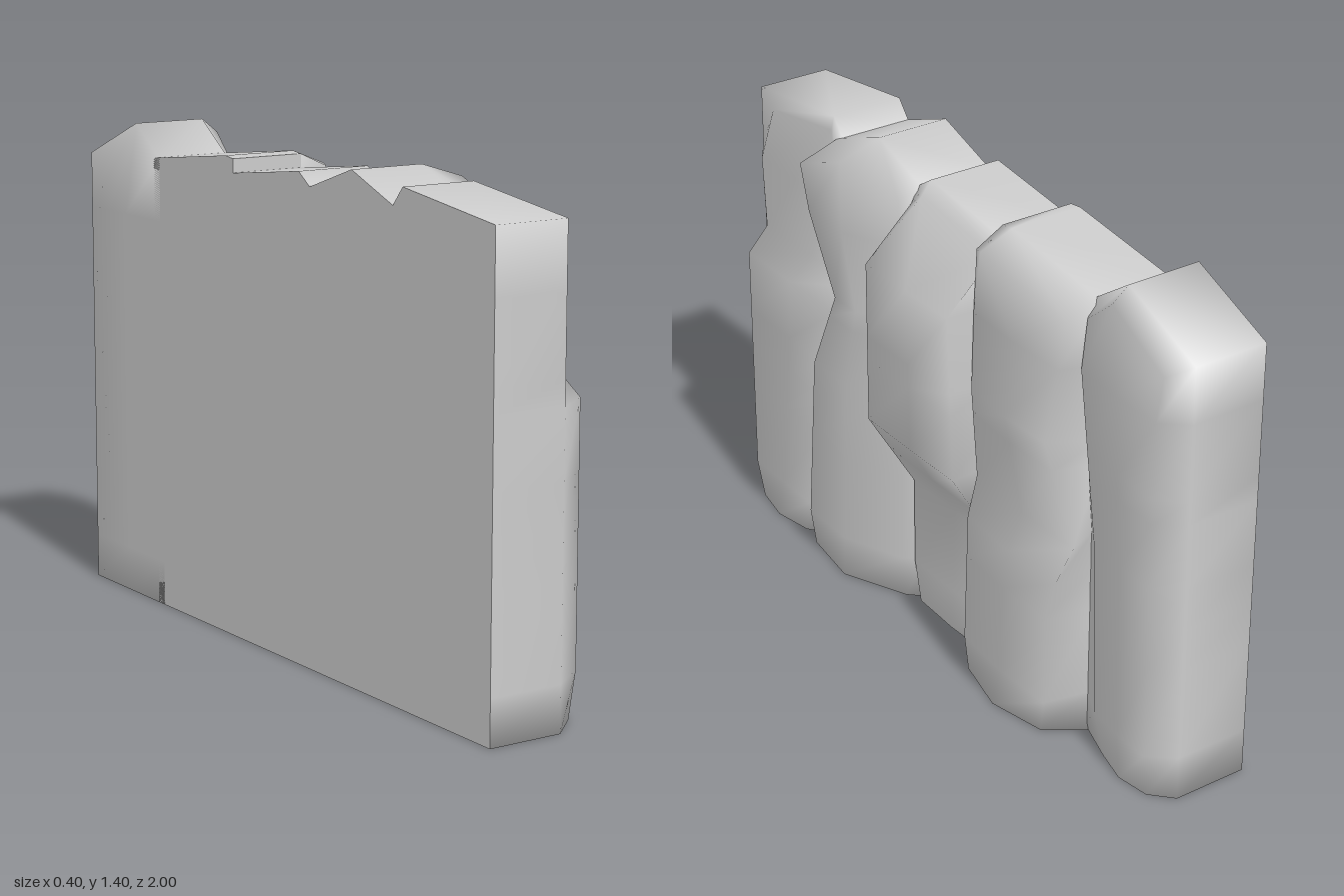
import * as THREE from 'three';
import { mergeGeometries } from 'three/addons/utils/BufferGeometryUtils.js';

const BACK = -0.2;
const SHOULDER = 0.02;
const HEIGHTS = [0, 0.13, 0.4, 0.53, 0.65, 0.84, 0.91, 1.13];
const RING = 8;

// Value at height y on a line through a few [height, value] points
function at(keys, y) {
  const next = keys.findIndex(([h]) => h >= y);
  if (next === -1) return keys[keys.length - 1][1];
  if (next === 0) return keys[0][1];
  const [h0, v0] = keys[next - 1];
  const [h1, v1] = keys[next];
  return THREE.MathUtils.mapLinear(y, h0, h1, v0, v1);
}

// Flat back and straight sides up to the shoulder, then an uneven front face.
// near, far: z of the face edges by height; depth: x of the face by height;
// full: how far the two edges stand out compared with the middle;
// top: heights at the near side, the peak and the far side, and the peak's z;
// flat: strips around the ring that are not shaded smoothly with the rest
function columnGeometry({ sides, near, far, depth, full, top, flat }) {
  const [zA, zB] = sides;
  const [yA, yP, yB, zP] = top;
  const positions = [];
  const smooth = [];
  const strips = flat.map(() => []);

  const addRing = (a, p, b, drop, backZ, key) => {
    const za = at(near, key);
    const zb = at(far, key);
    const x = at(depth, key);
    const edge = (f) => SHOULDER + (x - SHOULDER) * f * (key === 0 ? 0.8 : 1);
    positions.push(
      BACK, a, zA, SHOULDER, a, zA,
      edge(full[0]), a - drop, za,
      x, p - drop, drop ? zP : (za + zb) / 2,
      edge(full[1]), b - drop, zb,
      SHOULDER, b, zB, BACK, b, zB, BACK, p, backZ,
    );
  };
  HEIGHTS.forEach((y) => addRing(y, y, y, 0, (zA + zB) / 2, y));
  addRing(yA, yP, yB, 0.04, zP, 1.31);

  // Walls between the rings
  for (let r = 0; r < HEIGHTS.length; r++) {
    for (let i = 0; i < RING; i++) {
      const a = r * RING + i;
      const b = r * RING + (i + 1) % RING;
      const target = flat.includes(i) ? strips[flat.indexOf(i)] : smooth;
      target.push(a, b, b + RING, a, b + RING, a + RING);
    }
  }

  // Peaked cap and flat base
  const rim = HEIGHTS.length * RING;
  const peak = positions.length / 3;
  positions.push(SHOULDER, yP, zP, SHOULDER, 0, (zA + zB) / 2);
  for (let i = 0; i < RING; i++) {
    const j = (i + 1) % RING;
    smooth.push(peak, rim + i, rim + j, peak + 1, j, i);
  }

  return mergeGeometries([smooth, ...strips].map((index) => {
    const geometry = new THREE.BufferGeometry();
    geometry.setAttribute('position', new THREE.Float32BufferAttribute(positions, 3));
    geometry.setIndex(index);
    geometry.computeVertexNormals();
    return geometry;
  }));
}

export function createModel() {
  const model = new THREE.Group();
  model.name = 'rockWall';
  const rock = new THREE.MeshStandardMaterial({ color: 0xcccccc });
  const addColumn = (name, shape) => {
    const mesh = new THREE.Mesh(columnGeometry(shape), rock);
    mesh.name = name;
    model.add(mesh);
  };

  // Front column has a ledge and leans back under the second one
  addColumn('frontColumn', {
    sides: [1, 0.56], top: [1.31, 1.36, 1.3, 0.61], full: [1, 1], flat: [5, 6, 7],
    near: [[0, 0.92]],
    far: [[0, 0.68], [0.13, 0.62], [0.4, 0.55], [0.91, 0.44], [1.2, 0.6]],
    depth: [[0.84, 0.13], [0.91, 0.065], [1.1, 0.085], [1.25, 0.03]],
  });
  // Second column tapers into the wall on its far side
  addColumn('secondColumn', {
    sides: [0.59, 0.17], top: [1.3, 1.38, 1.31, 0.38], full: [1, 0.4], flat: [0, 5, 6, 7],
    near: [[0, 0.6], [0.13, 0.585], [0.65, 0.54], [0.91, 0.42], [1.2, 0.585]],
    far: [[0, 0.21]],
    depth: [[0, 0.15]],
  });
  // Middle column overhangs its deeply recessed foot
  addColumn('middleColumn', {
    sides: [0.19, -0.21], top: [1.31, 1.35, 1.31, 0.13], full: [1, 1], flat: [0, 5, 6, 7],
    near: [[0, 0.16], [0.13, 0.18]],
    far: [[0, -0.17], [0.13, -0.21], [0.65, -0.23], [1.2, -0.2]],
    depth: [[0.4, 0.05], [0.65, 0.2], [1.13, 0.2], [1.3, 0.05]],
  });
  // Fourth column is stacked from two lobes
  addColumn('fourthColumn', {
    sides: [-0.2, -0.63], top: [1.35, 1.355, 1.31, -0.24], full: [0.9, 0.95], flat: [0, 5, 6, 7],
    near: [[0, -0.2], [0.13, -0.22], [0.65, -0.24], [1.2, -0.21]],
    far: [[0, -0.55], [0.13, -0.6], [0.4, -0.6], [0.65, -0.68], [0.91, -0.56], [1.2, -0.6]],
    depth: [[0.53, 0.17], [0.65, 0.14], [0.91, 0.15], [1.3, 0.12]],
  });
  // Rear column is a plain pillar, rounded around its free end
  addColumn('rearColumn', {
    sides: [-0.6, -1], top: [1.31, 1.4, 1.29, -0.73], full: [0.8, 1], flat: [0],
    near: [[0, -0.74], [0.13, -0.71], [0.65, -0.69], [1.13, -0.62]],
    far: [[0, -0.94]],
    depth: [[1.13, 0.09], [1.3, 0.07]],
  });
  return model;
}
